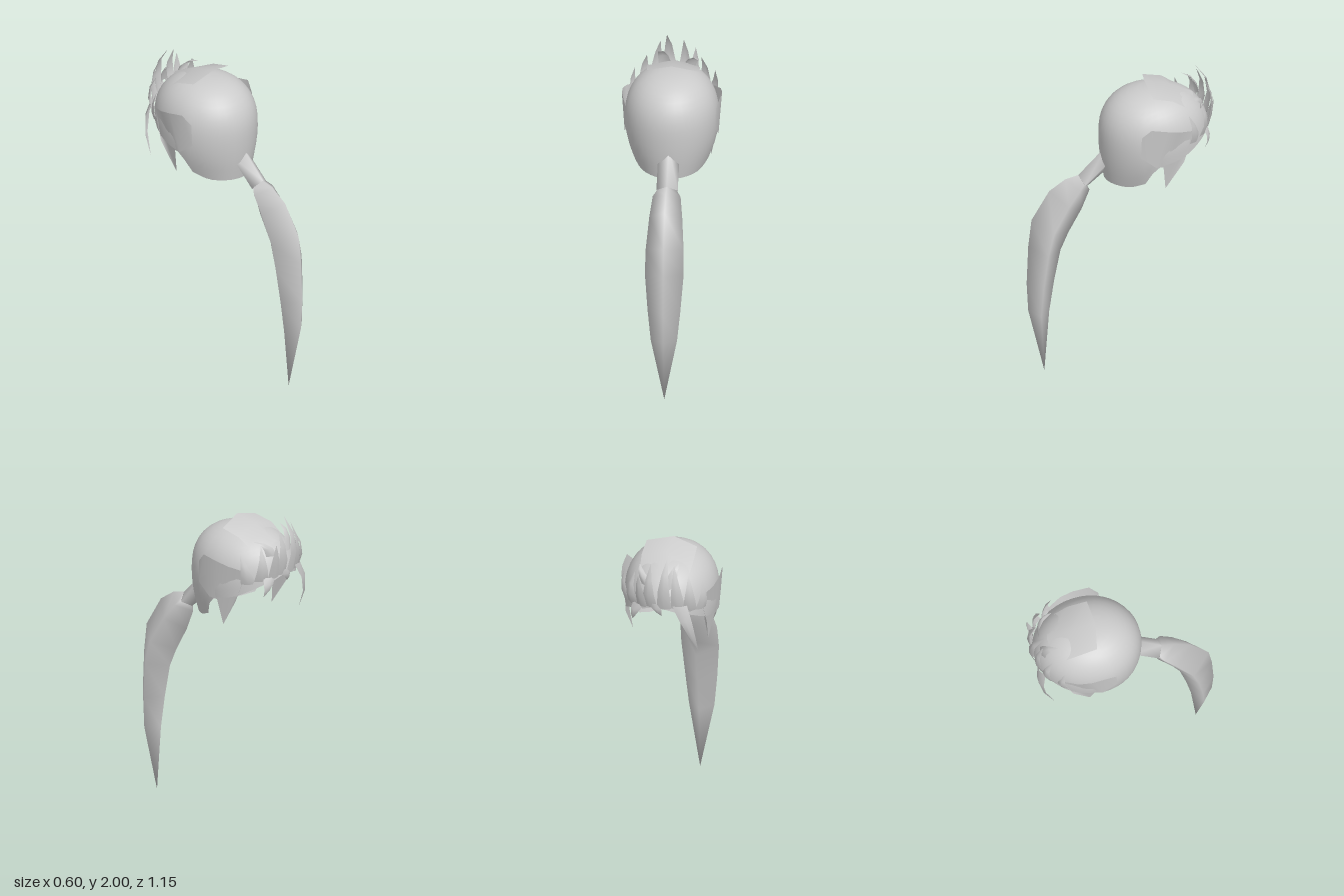
import * as THREE from 'three';
import { mergeVertices } from 'three/addons/utils/BufferGeometryUtils.js';

const material = new THREE.MeshStandardMaterial({ color: 0xcccccc, side: THREE.DoubleSide });

// Smooth skin over rows of points; closed joins the last column to the first
function skin(name, rows, closed = false) {
  const n = rows[0].length;
  const index = [];
  for (let r = 0; r < rows.length - 1; r++) {
    for (let c = 0; c < (closed ? n : n - 1); c++) {
      const a = r * n + c, b = r * n + (c + 1) % n;
      index.push(a, a + n, b, b, a + n, b + n);
    }
  }
  let geometry = new THREE.BufferGeometry();
  geometry.setAttribute('position', new THREE.Float32BufferAttribute(rows.flat(2), 3));
  geometry.setIndex(index);
  geometry = mergeVertices(geometry, 1e-4);
  geometry.computeVertexNormals();
  const mesh = new THREE.Mesh(geometry, material);
  mesh.name = name;
  return mesh;
}

// Height of the shell's lower edge, by angle from the front (degrees)
const EDGE = [[0, 1.31], [50, 1.32], [72, 1.36], [86, 1.49], [115, 1.53], [140, 1.6], [180, 1.67]];
function edgeHeight(deg) {
  const i = Math.max(1, EDGE.findIndex(e => e[0] >= deg));
  const [a, ya] = EDGE[i - 1], [b, yb] = EDGE[i];
  return THREE.MathUtils.mapLinear(deg, a, b, ya, yb);
}

// Rounded hair shell, open below and over the face
function hairShell() {
  const rows = [], around = 40, down = 14;
  for (let r = 0; r <= down; r++) {
    const row = [];
    for (let c = 0; c < around; c++) {
      const deg = c / around * 360 - 180;
      const phi = THREE.MathUtils.degToRad(deg);
      const t = r / down;
      const y = 1.9 - (1.9 - edgeHeight(Math.abs(deg))) * t ** 1.8;
      const u = (y - 1.6) / 0.3;
      const taper = 0.1 + 0.17 * Math.sin(phi) ** 2;
      const f = u > 0 ? (1 - u ** 2.4) ** (1 / 2.4) : 1 - taper * u * u;
      const depth = Math.cos(phi) > 0 ? 0.32 : 0.35;
      row.push([0.285 * f * Math.sin(phi), y, -0.2 + depth * f * Math.cos(phi)]);
    }
    rows.push(row);
  }
  return skin('hairShell', rows, true);
}

// Diamond-section tube: rows of [outer z, outer y, inner z, inner y, half width]
function diamondTube(name, sections) {
  return skin(name, sections.map(([oz, oy, iz, iy, w]) => {
    const y = (oy + iy) / 2, z = (oz + iz) / 2;
    return [[0, oy, oz], [-w, y, z], [0, iy, iz], [w, y, z]];
  }), true);
}

// Pointed lock with a raised ridge, following base, middle and tip
function lock(name, base, middle, tip, width) {
  const curve = new THREE.QuadraticBezierCurve3(...[base, middle, tip].map(p => new THREE.Vector3(...p)));
  const out = new THREE.Vector3(base[0], 0, base[2] + 0.2).normalize();
  const side = new THREE.Vector3(out.z, 0, -out.x);
  const rows = [1, 0.8, 0.45, 0].map((k, i) => {
    const p = curve.getPoint(i / 3);
    return [-1, 0, 1].map(s => p.clone()
      .addScaledVector(side, s * k * width / 2)
      .addScaledVector(out, s ? 0 : 0.015 * k).toArray());
  });
  return skin(name, rows);
}

export function createModel() {
  const group = new THREE.Group();
  group.add(hairShell());

  // Curved tail and the narrow tie joining it to the shell
  group.add(diamondTube('ponytail', [
    [0.25, 1.34, 0.2, 1.27, 0.06],
    [0.33, 1.32, 0.18, 1.23, 0.085],
    [0.43, 1.25, 0.23, 1.1, 0.1],
    [0.54, 1.06, 0.31, 0.95, 0.115],
    [0.56, 0.88, 0.36, 0.83, 0.118],
    [0.57, 0.62, 0.4, 0.62, 0.1],
    [0.56, 0.43, 0.43, 0.41, 0.08],
    [0.46, 0, 0.46, 0, 0],
  ]));
  group.add(diamondTube('ponytailTie', [
    [0.07, 1.53, 0.04, 1.39, 0.065],
    [0.25, 1.34, 0.19, 1.26, 0.065],
  ]));

  // Raised flap on the crown
  group.add(skin('crownFlap', [
    [[-0.15, 1.91, -0.18], [0, 1.95, -0.16], [0.165, 1.91, -0.18]],
    [[-0.16, 1.88, -0.3], [0, 1.92, -0.3], [0.165, 1.88, -0.3]],
    [[-0.15, 1.79, -0.43], [0, 1.84, -0.46], [0.15, 1.79, -0.43]],
  ]));

  // Side panels with a pointed sideburn
  for (const s of [-1, 1]) {
    const panel = [
      [[0.275, 1.71, -0.085], [0.272, 1.57, -0.08]],
      [[0.3, 1.77, -0.14], [0.285, 1.5, -0.17]],
      [[0.302, 1.75, -0.24], [0.272, 1.49, -0.22]],
      [[0.288, 1.73, -0.32], [0.235, 1.32, -0.24]],
      [[0.235, 1.7, -0.42], [0.255, 1.5, -0.35]],
    ];
    group.add(skin(s < 0 ? 'rightSidePanel' : 'leftSidePanel',
      panel.map(row => row.map(([x, y, z]) => [s * x, y, z]))));
  }

  // Upswept spikes along the hairline: base, middle, tip, width
  const spikes = [
    [[-0.04, 1.66, -0.54], [-0.04, 1.86, -0.62], [-0.05, 2, -0.48], 0.09],
    [[0.05, 1.66, -0.53], [0.06, 1.8, -0.6], [0.05, 1.95, -0.52], 0.09],
    [[0.1, 1.65, -0.52], [0.12, 1.78, -0.56], [0.12, 1.88, -0.56], 0.08],
    [[-0.12, 1.65, -0.51], [-0.12, 1.8, -0.58], [-0.09, 1.95, -0.5], 0.09],
    [[-0.18, 1.63, -0.47], [-0.2, 1.76, -0.54], [-0.17, 1.87, -0.46], 0.09],
    [[0.17, 1.64, -0.48], [0.2, 1.74, -0.53], [0.16, 1.86, -0.47], 0.09],
    [[0.22, 1.62, -0.42], [0.26, 1.7, -0.44], [0.25, 1.82, -0.38], 0.09],
    [[-0.23, 1.62, -0.41], [-0.27, 1.7, -0.43], [-0.24, 1.81, -0.4], 0.08],
    [[-0.06, 1.78, -0.5], [-0.08, 1.9, -0.5], [-0.1, 1.92, -0.41], 0.08],
    [[0.08, 1.78, -0.49], [0.12, 1.87, -0.5], [0.15, 1.87, -0.4], 0.08],
  ];
  spikes.forEach(([base, middle, tip, width], i) => group.add(lock(`spike${i + 1}`, base, middle, tip, width)));

  // Loose lock hanging beside the face, and short fringe tips
  group.add(lock('hangingLock', [-0.13, 1.68, -0.52], [-0.2, 1.55, -0.57], [-0.23, 1.35, -0.455], 0.09));
  group.add(lock('fringeTipLeft', [0.13, 1.66, -0.51], [0.16, 1.6, -0.54], [0.17, 1.54, -0.5], 0.08));
  group.add(lock('fringeTipMiddle', [0.02, 1.69, -0.54], [0, 1.64, -0.56], [-0.02, 1.6, -0.53], 0.08));
  return group;
}
